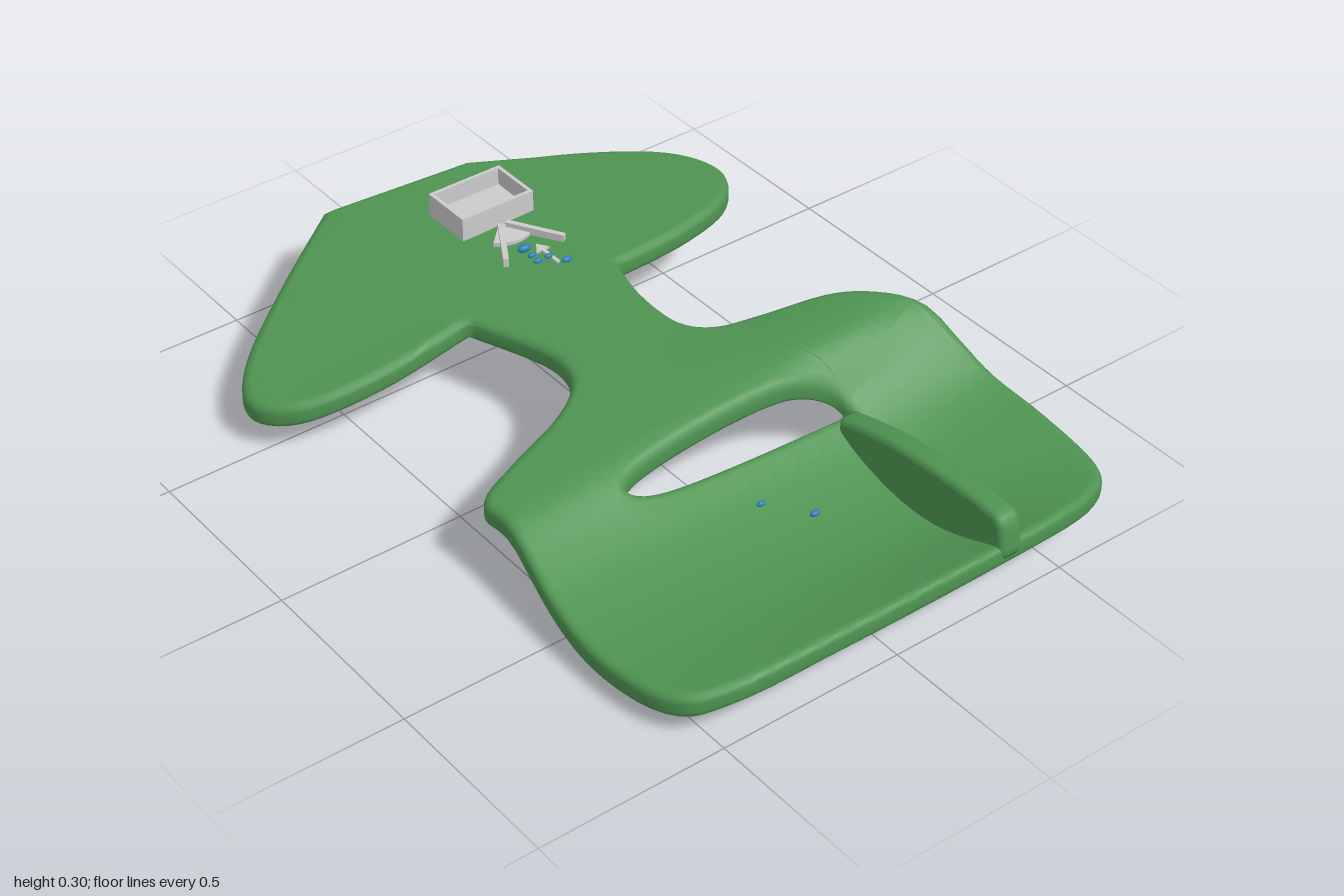
import * as THREE from 'three';
import { mergeVertices } from 'three/addons/utils/BufferGeometryUtils.js';

const green = new THREE.MeshStandardMaterial({ color: 0x4f9452 });
const grey = new THREE.MeshStandardMaterial({ color: 0xcccccc });
const blue = new THREE.MeshStandardMaterial({ color: 0x2f7fc0 });

// Height of the upper surface: one row per x, one column per z
const zKeys = [0.74, 0.2, -0.35, -0.75];
const xKeys = [-1, -0.3, 0, 0.2, 0.3, 0.4, 0.5, 0.65, 0.8, 1];
const heights = [
  [0.13, 0.225, 0.235, 0.27],
  [0.13, 0.225, 0.245, 0.27],
  [0.18, 0.24, 0.255, 0.27],
  [0.19, 0.235, 0.278, 0.305],
  [0.185, 0.225, 0.265, 0.29],
  [0.15, 0.165, 0.155, 0.22],
  [0.115, 0.12, 0.1, 0.165],
  [0.09, 0.09, 0.065, 0.14],
  [0.095, 0.095, 0.075, 0.13],
  [0.11, 0.14, 0.15, 0.14],
];

function surfaceHeight(x, z) {
  const last = xKeys.length - 1;
  x = THREE.MathUtils.clamp(x, -1, 1);
  let i = 0;
  while (i < last - 1 && x > xKeys[i + 1]) i++;
  let j = 0;
  while (j < 2 && z < zKeys[j + 1]) j++;
  const t = THREE.MathUtils.clamp((z - zKeys[j]) / (zKeys[j + 1] - zKeys[j]), 0, 1);
  const y = (k) => THREE.MathUtils.lerp(heights[k][j], heights[k][j + 1], t);
  const slope = (k) => {
    const a = Math.max(k - 1, 0), b = Math.min(k + 1, last);
    return (y(b) - y(a)) / (xKeys[b] - xKeys[a]);
  };
  // Cubic Hermite across x
  const w = xKeys[i + 1] - xKeys[i], s = (x - xKeys[i]) / w;
  const s2 = s * s, s3 = s2 * s;
  return (2 * s3 - 3 * s2 + 1) * y(i) + (s3 - 2 * s2 + s) * w * slope(i)
    + (3 * s2 - 2 * s3) * y(i + 1) + (s3 - s2) * w * slope(i + 1);
}

// Splits long edges so a flat cap can be bent
function refine(geometry, maxEdge) {
  const src = geometry.index ? geometry.toNonIndexed() : geometry;
  const p = src.attributes.position, out = [];
  const stack = [];
  for (let i = 0; i < p.count; i += 3) {
    stack.push([0, 1, 2].map((k) => new THREE.Vector3().fromBufferAttribute(p, i + k)));
  }
  while (stack.length) {
    const [a, b, c] = stack.pop();
    const ab = a.distanceTo(b), bc = b.distanceTo(c), ca = c.distanceTo(a);
    const longest = Math.max(ab, bc, ca);
    if (longest <= maxEdge) {
      for (const v of [a, b, c]) out.push(v.x, v.y, v.z);
      continue;
    }
    const [u, v, w] = longest === ab ? [a, b, c] : longest === bc ? [b, c, a] : [c, a, b];
    const m = u.clone().add(v).multiplyScalar(0.5);
    stack.push([u, m, w], [m, v, w]);
  }
  const g = new THREE.BufferGeometry();
  g.setAttribute('position', new THREE.Float32BufferAttribute(out, 3));
  return g;
}

const vec = (pts) => pts.map(([x, y]) => new THREE.Vector2(x, y));

function add(parent, name, geometry, material, x = 0, y = 0, z = 0) {
  const mesh = new THREE.Mesh(geometry, material);
  mesh.name = name;
  mesh.position.set(x, y, z);
  parent.add(mesh);
  return mesh;
}

function greenGeometry() {
  // Outline seen from above, corners between smooth runs
  const shape = new THREE.Shape();
  shape.moveTo(-1, 0.22);
  shape.lineTo(-0.96, -0.2);
  shape.splineThru(vec([[-0.81, -0.44], [-0.65, -0.62], [-0.5, -0.68], [-0.39, -0.62],
    [-0.345, -0.46], [-0.34, -0.23]]));
  shape.splineThru(vec([[-0.2, -0.195], [-0.05, -0.19], [0.03, -0.24], [0.07, -0.35], [0.12, -0.52],
    [0.21, -0.62], [0.36, -0.71], [0.62, -0.75], [0.86, -0.73], [0.96, -0.64], [0.988, -0.4],
    [0.985, 0.1], [0.96, 0.44], [0.88, 0.57], [0.62, 0.6], [0.3, 0.565], [0.19, 0.56],
    [0.13, 0.44], [0.07, 0.27], [0, 0.17], [-0.1, 0.13], [-0.22, 0.145], [-0.38, 0.2]]));
  shape.splineThru(vec([[-0.38, 0.45], [-0.43, 0.66], [-0.54, 0.74], [-0.67, 0.67], [-0.83, 0.47], [-1, 0.22]]));

  // Slot between ridge and basin
  const slot = new THREE.Path();
  slot.moveTo(0.4, -0.37);
  slot.splineThru(vec([[0.355, -0.34], [0.315, -0.22], [0.305, 0], [0.317, 0.2], [0.345, 0.268],
    [0.38, 0.2], [0.394, 0], [0.4, -0.37]]));
  shape.holes.push(slot);

  const bevel = 0.02;
  const flat = new THREE.ExtrudeGeometry(shape, {
    depth: 0.065 - 2 * bevel, bevelThickness: bevel, bevelSize: 0.022, bevelOffset: -0.022,
    bevelSegments: 3, curveSegments: 5,
  });
  flat.rotateX(Math.PI / 2).translate(0, -bevel, 0);
  const g = refine(flat, 0.05);
  const p = g.attributes.position;
  for (let i = 0; i < p.count; i++) p.setY(i, p.getY(i) + surfaceHeight(p.getX(i), p.getZ(i)));
  const merged = mergeVertices(g, 1e-4);
  merged.computeVertexNormals();
  return merged;
}

function ledgeGeometry() {
  // Upright lip whose foot follows the basin
  const shape = new THREE.Shape();
  shape.moveTo(0.415, 0.12);
  shape.lineTo(0.418, 0.165);
  shape.splineThru(vec([[0.5, 0.187], [0.6, 0.208], [0.75, 0.222], [0.92, 0.224], [0.98, 0.205], [0.995, 0.12]]));
  for (let i = 0; i <= 12; i++) {
    const x = 0.99 - i * 0.047;
    shape.lineTo(x, surfaceHeight(x, -0.345) - 0.04);
  }
  const g = new THREE.ExtrudeGeometry(shape, {
    depth: 0.03, bevelThickness: 0.018, bevelSize: 0.016, bevelOffset: -0.016,
    bevelSegments: 3, curveSegments: 5,
  });
  g.deleteAttribute('uv');
  g.deleteAttribute('normal');
  const merged = mergeVertices(g.translate(0, 0, -0.36), 1e-4);
  merged.computeVertexNormals();
  return merged;
}

export function createModel() {
  const model = new THREE.Group();
  add(model, 'turf', greenGeometry(), green);
  add(model, 'turfLip', ledgeGeometry(), green);

  // Open-topped tray
  const tray = new THREE.Group();
  tray.name = 'tray';
  tray.position.set(-0.733, 0.23, -0.09);
  add(tray, 'trayFloor', new THREE.BoxGeometry(0.15, 0.016, 0.22), grey, 0, 0.008, 0);
  for (const s of [-1, 1]) {
    add(tray, 'trayEnd', new THREE.BoxGeometry(0.01, 0.065, 0.22), grey, s * 0.07, 0.0325, 0);
    add(tray, 'traySide', new THREE.BoxGeometry(0.15, 0.065, 0.01), grey, 0, 0.0325, s * 0.105);
  }
  model.add(tray);

  // Fan-shaped chute with two diverging walls
  add(model, 'chute', new THREE.CylinderGeometry(0.09, 0.09, 0.012, 16, 1, false, Math.PI / 4, Math.PI / 2),
    grey, -0.655, 0.236, -0.09);
  for (const s of [-1, 1]) {
    const wall = add(model, 'chuteWall', new THREE.BoxGeometry(0.16, 0.024, 0.014), grey,
      -0.567, 0.243, -0.09 + s * 0.05);
    wall.rotation.y = -s * 0.53;
  }

  // Small arrow pointing at the chute
  const arrow = new THREE.Shape(vec([[-0.495, -0.09], [-0.465, -0.11], [-0.465, -0.095], [-0.4, -0.095],
    [-0.4, -0.085], [-0.465, -0.085], [-0.465, -0.07]]));
  const arrowGeometry = new THREE.ExtrudeGeometry(arrow, { depth: 0.006, bevelEnabled: false });
  add(model, 'arrow', arrowGeometry.rotateX(Math.PI / 2), grey, 0, 0.266, 0);

  // Blue drops: x, y, z, radius
  const drops = [
    [-0.49, 0.272, -0.05, 0.011], [-0.45, 0.275, -0.045, 0.007], [-0.425, 0.272, -0.045, 0.007],
    [-0.42, 0.277, -0.075, 0.007], [-0.385, 0.273, -0.105, 0.008],
    [0.565, 0.178, 0.045, 0.007], [0.657, 0.167, -0.04, 0.008],
  ];
  for (const [x, y, z, r] of drops) {
    add(model, 'drop', new THREE.SphereGeometry(r, 10, 8), blue, x, y, z).scale.z = 1.8;
  }
  return model;
}
